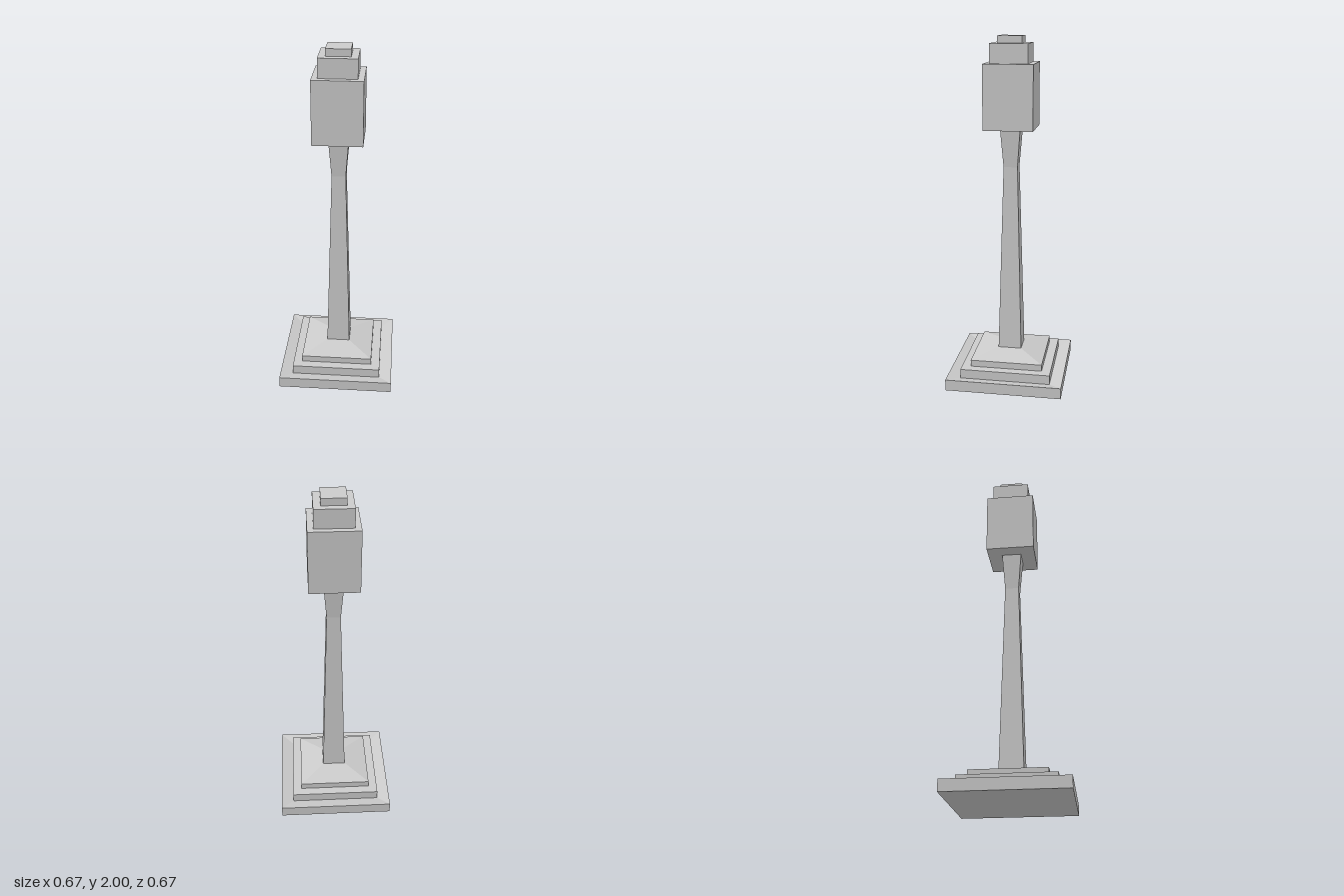
import * as THREE from 'three';

const material = new THREE.MeshStandardMaterial({ color: 0xcccccc, flatShading: true });

// Square-section solid from a profile of [half width, height], listed bottom to top
function squareTurned(name, profile) {
  const points = profile.map(([half, y]) => new THREE.Vector2(half * Math.SQRT2, y));
  const geometry = new THREE.LatheGeometry(points, 4, Math.PI / 4).toNonIndexed();
  geometry.computeVertexNormals();
  const mesh = new THREE.Mesh(geometry, material);
  mesh.name = name;
  return mesh;
}

export function createModel() {
  const group = new THREE.Group();
  group.name = 'squarePillar';

  group.add(
    // Bottom slab, its top dipping slightly inward
    squareTurned('baseSlab', [[0, 0], [0.335, 0], [0.335, 0.065], [0.262, 0.048]]),
    squareTurned('middleStep', [[0.262, 0.048], [0.262, 0.102], [0.21, 0.102]]),
    // Upper step with a sloped shoulder up to the shaft
    squareTurned('upperStep', [[0.21, 0.102], [0.21, 0.14], [0.068, 0.172]]),
    // Shaft tapers to a neck, then flares under the head
    squareTurned('shaft', [[0.068, 0.172], [0.04, 1.27], [0.057, 1.49]]),
    squareTurned('headBlock', [[0.057, 1.49], [0.14, 1.49], [0.14, 1.852], [0.107, 1.852]]),
    squareTurned('collar', [[0.107, 1.852], [0.107, 1.96], [0.068, 1.96]]),
    squareTurned('cap', [[0.068, 1.96], [0.068, 2], [0, 2]])
  );

  return group;
}
